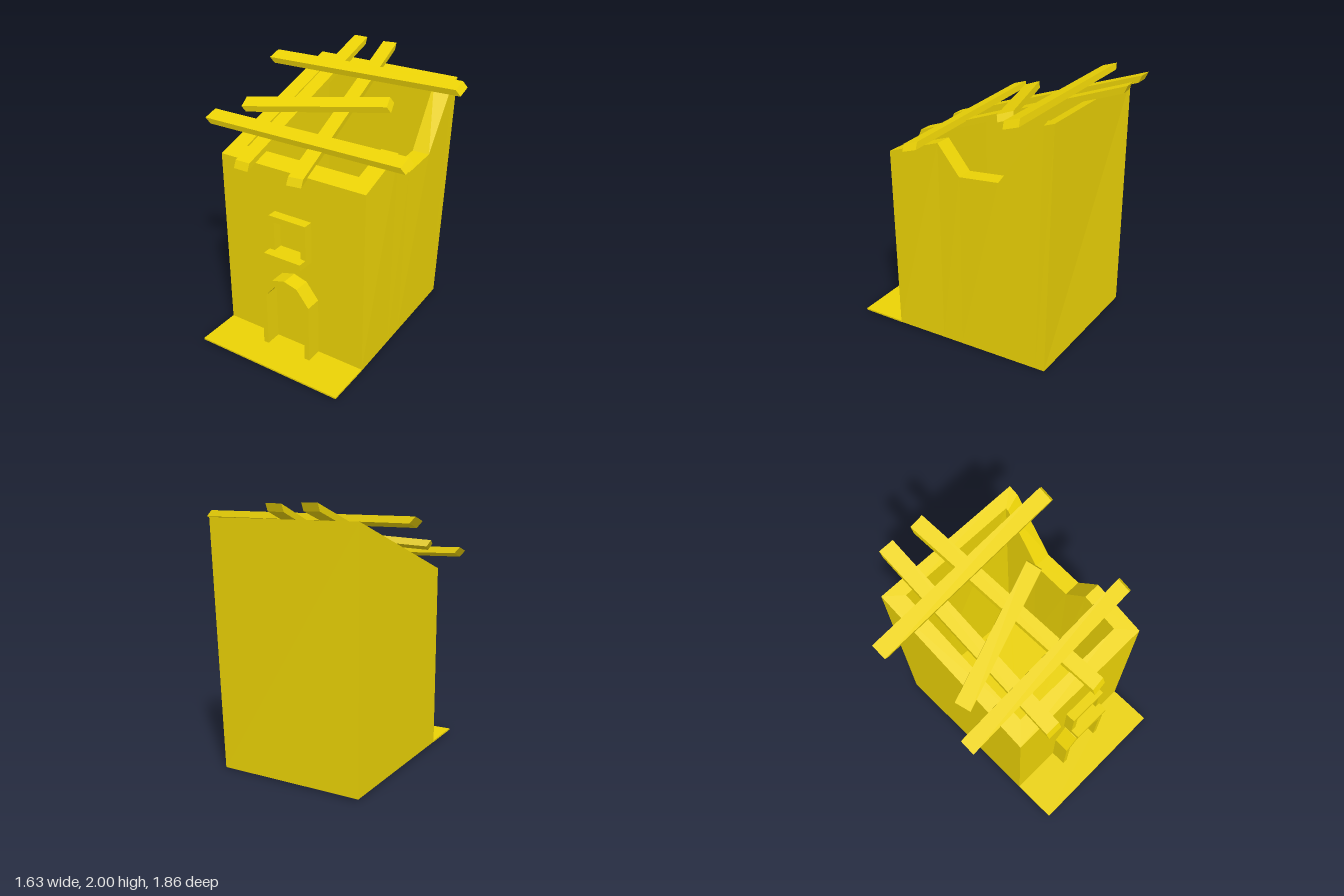
import * as THREE from 'three';

const yellow = new THREE.MeshStandardMaterial({ color: 0xebd205, flatShading: true, side: THREE.DoubleSide });

function add(group, name, geometry, x = 0, y = 0, z = 0) {
  const mesh = new THREE.Mesh(geometry, yellow);
  mesh.name = name;
  mesh.position.set(x, y, z);
  group.add(mesh);
}

// Box given by its x, y and z ranges
function block(group, name, [x0, x1], [y0, y1], [z0, z1]) {
  add(group, name, new THREE.BoxGeometry(x1 - x0, y1 - y0, z1 - z0),
    (x0 + x1) / 2, (y0 + y1) / 2, (z0 + z1) / 2);
}

// Flat shape from corner pairs
const outline = points => new THREE.Shape(points.map(p => new THREE.Vector2(...p)));

// Sheared plank running from a to b, with free width and thickness vectors
function beam(group, name, a, b, width, thickness) {
  const A = new THREE.Vector3(...a), B = new THREE.Vector3(...b);
  const matrix = new THREE.Matrix4().makeBasis(
    new THREE.Vector3(...width), new THREE.Vector3(...thickness), A.clone().sub(B));
  matrix.setPosition(A.add(B).multiplyScalar(0.5));
  const geometry = new THREE.BoxGeometry(1, 1, 1).applyMatrix4(matrix);
  geometry.computeVertexNormals();
  add(group, name, geometry);
}

// Surface through closed loops of equal point count
function skin(loops) {
  const positions = [];
  for (let k = 0; k < loops.length - 1; k++) {
    const low = loops[k], high = loops[k + 1], n = low.length;
    for (let i = 0; i < n; i++) {
      const j = (i + 1) % n;
      positions.push(...low[i], ...low[j], ...high[j], ...low[i], ...high[j], ...high[i]);
    }
  }
  const geometry = new THREE.BufferGeometry();
  geometry.setAttribute('position', new THREE.Float32BufferAttribute(positions, 3));
  geometry.computeVertexNormals();
  return geometry;
}

export function createModel() {
  const group = new THREE.Group();
  const roofY = z => 1.452 + (0.58 - z) * 0.326;
  const floorY = 0.08;

  // Walls: outer face, sloping rim with a broken notch on the +x side, inner face
  const rim = (x0, x1, front, back, notchEnd) => [
    [x0, roofY(front), front], [x1, roofY(front), front],
    [x1, roofY(0.16), 0.16], [x1, 1.375, -0.01], [x1, 1.4, -0.32], [x1, roofY(notchEnd), notchEnd],
    [x1, roofY(back), back], [x0, roofY(back), back]];
  const outerTop = rim(-0.54, 0.663, 0.58, -0.725, -0.65);
  const innerTop = rim(-0.41, 0.53, 0.45, -0.63, -0.61);

  // The back +x corner is pulled inwards at the foot
  const foot = (loop, y, shiftX, shiftZ, drop) => loop.map(([x, , z], i) => {
    const t = i < 7 ? (loop[0][2] - z) / (loop[0][2] - loop[6][2]) : 0;
    return [x - shiftX * t, y - drop * t, z + shiftZ * t];
  });
  const outerBottom = foot(outerTop, 0.015, 0.038, 0.053, 0.015);
  const innerBottom = foot(innerTop, floorY, 0.025, 0.04, 0);
  add(group, 'walls', skin([outerBottom, outerTop, innerTop, innerBottom]));

  // Floor of the inner room; the double wall is open below
  const floor = outline(innerBottom.map(([x, , z]) => [x, -z]));
  add(group, 'floor', new THREE.ShapeGeometry(floor).rotateX(-Math.PI / 2), 0, floorY, 0);

  // Thin slab in front of the door
  block(group, 'doorstep', [-0.54, 0.663], [0.013, 0.026], [0.58, 0.93]);

  // Arched door surround
  const arch = outline([[-0.13, 0.02], [-0.13, 0.49], [-0.03, 0.615], [0.078, 0.645], [0.186, 0.615], [0.286, 0.49],
    [0.286, 0.02], [0.245, 0.02], [0.245, 0.47], [0.167, 0.565], [0.078, 0.59], [-0.011, 0.565],
    [-0.089, 0.47], [-0.089, 0.02]]);
  add(group, 'doorArch', new THREE.ExtrudeGeometry(arch, { depth: 0.125, bevelEnabled: false }), 0, 0, 0.58);

  // Window surround and sill
  const frame = outline([[-0.07, 0.855], [-0.027, 0.855], [-0.027, 1.08], [0.2, 1.08], [0.2, 0.855],
    [0.24, 0.855], [0.24, 1.125], [-0.07, 1.125]]);
  add(group, 'windowFrame', new THREE.ExtrudeGeometry(frame, { depth: 0.075, bevelEnabled: false }), 0, 0, 0.59);
  block(group, 'windowSill', [-0.07, 0.24], [0.803, 0.855], [0.59, 0.735]);

  // Rafters along the slope
  const rise = [0, 0.055, -0.025];
  beam(group, 'straightRafter', [-0.295, 1.445, 0.658], [-0.295, 1.97, -0.912], [0.12, 0, 0], rise);
  beam(group, 'slantedRafter', [0.157, 1.438, 0.658], [-0.025, 1.962, -0.912], [0.115, 0.003, -0.012], rise);

  // Planks lying across the rafters
  const across = [0, 0.035, -0.115], lift = [-0.035, 0.045, 0.012];
  beam(group, 'lowerPlank', [-0.8, 1.61, 0.36], [0.8, 1.58, 0.29], across, lift);
  beam(group, 'upperPlank', [-0.8, 1.867, -0.442], [0.8, 1.877, -0.5], across, lift);
  beam(group, 'diagonalPlank', [-0.645, 1.67, 0.152], [0.388, 1.76, -0.211],
    [-0.035, 0.035, -0.11], [-0.025, 0.045, 0.02]);

  return group;
}
